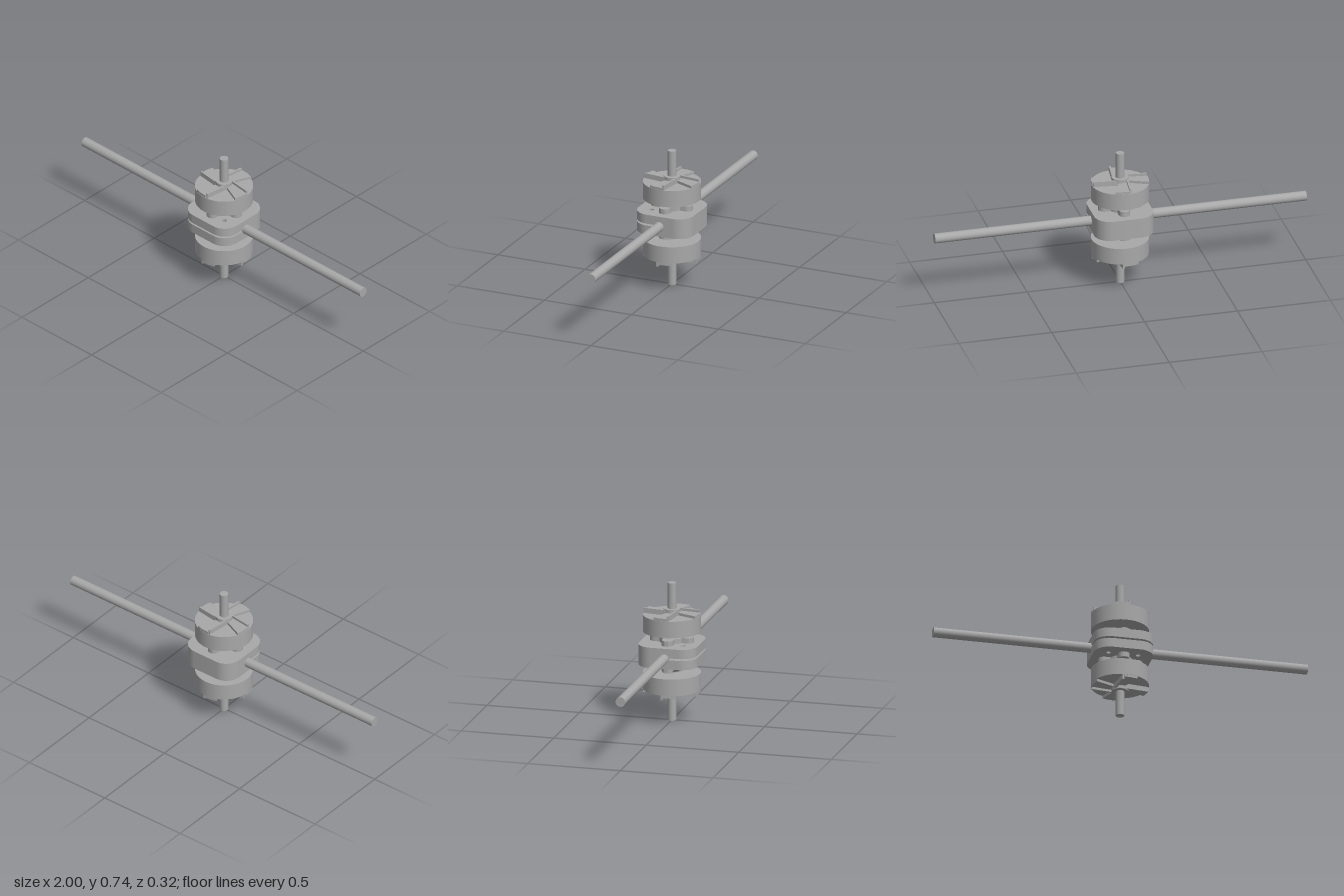
import * as THREE from 'three';
import { toCreasedNormals } from 'three/addons/utils/BufferGeometryUtils.js';

const MID = 0.3715; // height of the cross rod, and the mirror plane of the two motors

export function createModel() {
  const root = new THREE.Group();
  const metal = new THREE.MeshStandardMaterial({ color: 0xa8a8a8 });
  metal.name = 'grey metal';

  const add = (parent, name, geo) => {
    const mesh = new THREE.Mesh(geo, metal);
    mesh.name = name;
    parent.add(mesh);
    return mesh;
  };
  const cyl = (parent, name, r, y0, y1) => {
    const geo = new THREE.CylinderGeometry(r, r, y1 - y0, 64);
    geo.translate(0, (y0 + y1) / 2, 0);
    return add(parent, name, geo);
  };
  // plan outline (shape y = -z) raised from y0 to y1
  const slab = (parent, name, shape, y0, y1) => {
    const geo = new THREE.ExtrudeGeometry(shape, { depth: y1 - y0, bevelEnabled: false, curveSegments: 16 });
    geo.rotateX(-Math.PI / 2);
    geo.translate(0, y0, 0);
    return add(parent, name, toCreasedNormals(geo, 0.5));
  };
  const polygon = (pts) => new THREE.Shape(pts.map(([x, z]) => new THREE.Vector2(x, -z)));

  // rounded square clamp outline, with the two bolt holes at the front
  const H = 0.158, R = 0.085, C = H - R;
  const clampOutline = () => {
    const s = new THREE.Shape();
    [[C, C], [-C, C], [-C, -C], [C, -C]].forEach(([x, y], i) =>
      s.absarc(x, y, R, i * Math.PI / 2, (i + 1) * Math.PI / 2, false));
    s.closePath();
    for (const x of [-0.079, 0.079]) {
      const hole = new THREE.Path();
      hole.absarc(x, -0.081, 0.013, 0, Math.PI * 2, true);
      s.holes.push(hole);
    }
    return s;
  };
  // rear half only, which leaves the front slot open
  const rearOutline = new THREE.Shape();
  rearOutline.moveTo(-H, 0).lineTo(H, 0);
  rearOutline.absarc(C, C, R, 0, Math.PI / 2, false);
  rearOutline.absarc(-C, C, R, Math.PI / 2, Math.PI, false);
  rearOutline.closePath();

  const clamp = new THREE.Group();
  clamp.name = 'clamp';
  slab(clamp, 'upperJaw', clampOutline(), 0.377, 0.427);
  slab(clamp, 'lowerJaw', clampOutline(), 0.317, 0.367);
  slab(clamp, 'jawBridge', rearOutline, 0.367, 0.377);
  root.add(clamp);

  // long cross rod
  const rod = new THREE.CylinderGeometry(0.026, 0.026, 2, 48);
  rod.rotateZ(Math.PI / 2);
  rod.translate(0, MID, 0);
  add(root, 'crossRod', rod);

  // four-lobed motor foot
  const foot = new THREE.Shape();
  for (let i = 0; i < 4; i++) {
    const a = i * Math.PI / 2, c = Math.cos(a), s = Math.sin(a);
    foot.absarc(0.087 * c, 0.087 * s, 0.03, a - Math.PI / 2, a + Math.PI / 2, false);
    foot.lineTo(0.03 * (c - s), 0.03 * (c + s));
  }
  foot.closePath();

  // raised wedge and tall fin of one spoke
  const wedge = polygon([[0.03, -0.028], [0.03, 0.015], [0.139, 0.062], [0.148, 0.03], [0.151, -0.012]]);
  const fin = polygon([[0.02, -0.038], [0.02, -0.028], [0.147, -0.012], [0.147, -0.022]]);

  const makeMotor = (name) => {
    const motor = new THREE.Group();
    motor.name = name;
    slab(motor, 'motorFoot', foot, 0.427, 0.455);
    cyl(motor, 'footCentre', 0.066, 0.427, 0.4548);
    const neck = [[0.068, 0.454], [0.058, 0.462], [0.05, 0.469], [0.047, 0.475], [0.053, 0.484]];
    add(motor, 'neck', new THREE.LatheGeometry(neck.map(([x, y]) => new THREE.Vector2(x, y)), 48));
    cyl(motor, 'rotorCan', 0.152, 0.483, 0.573);
    for (let i = 0; i < 4; i++) {
      const spoke = new THREE.Group();
      spoke.name = 'spoke';
      slab(spoke, 'spokeWedge', wedge, 0.573, 0.587);
      slab(spoke, 'spokeFin', fin, 0.573, 0.6);
      spoke.rotation.y = i * Math.PI / 2;
      motor.add(spoke);
    }
    cyl(motor, 'hub', 0.044, 0.573, 0.605);
    cyl(motor, 'shaft', 0.0225, 0.6, 0.743);
    return motor;
  };

  root.add(makeMotor('upperMotor'));
  // the lower motor is the upper one turned half round the rod
  const lower = makeMotor('lowerMotor');
  lower.rotation.x = Math.PI;
  lower.position.y = 2 * MID;
  root.add(lower);
  return root;
}
